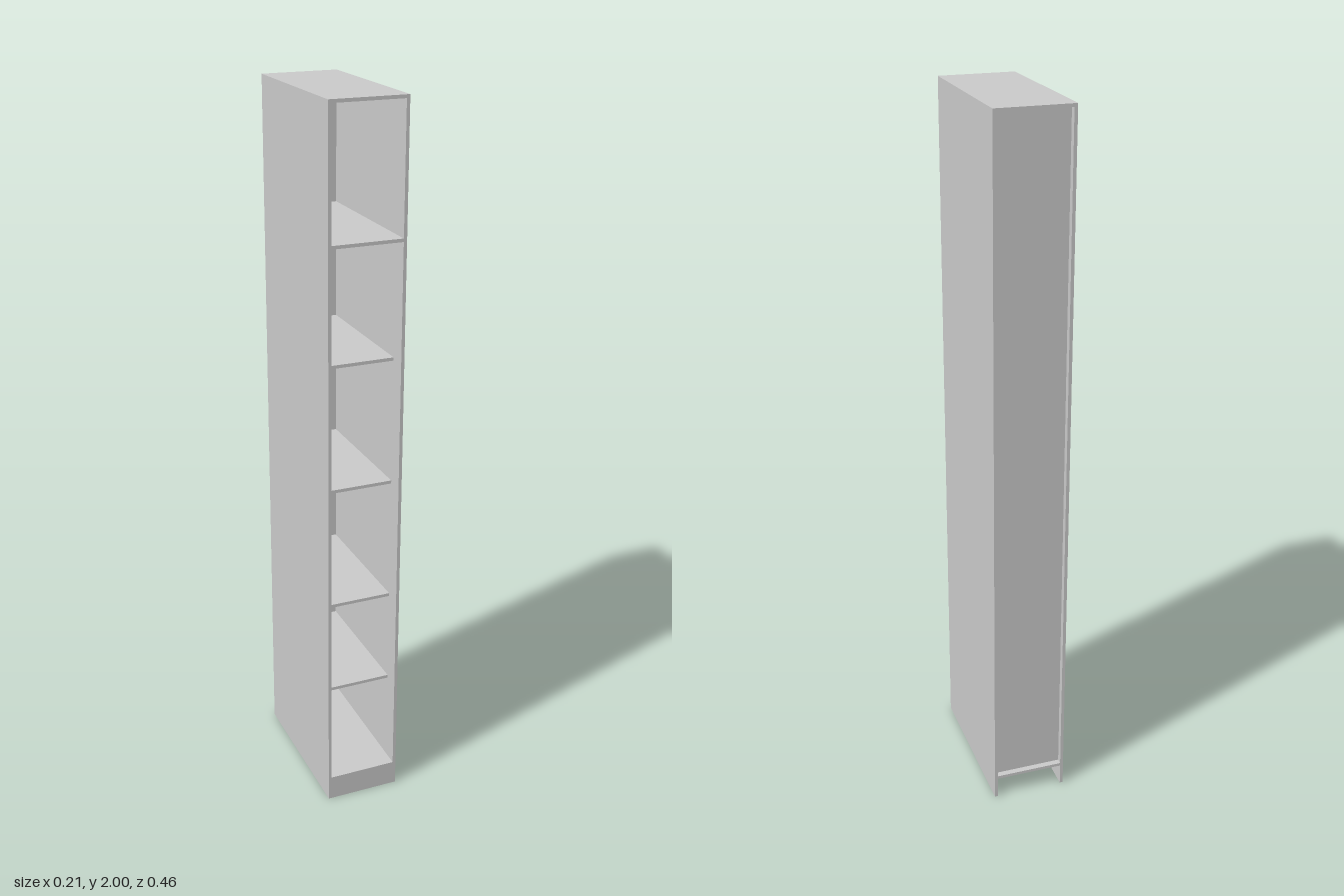
import * as THREE from 'three';

const W = 0.2125, H = 2, D = 0.462; // overall size
const T = 0.009; // board thickness
const RECESS = 0.017; // back panel set in from the rear edge
const BACK_T = 0.004;
const SETBACK = 0.047; // loose shelves sit behind the front edge
const BASE = 0.072; // top of the bottom board

export function createModel() {
  const group = new THREE.Group();
  const material = new THREE.MeshStandardMaterial({ color: 0xcccccc });
  const inner = W - 2 * T;

  // Board given by its size and centre
  const board = (name, w, h, d, x, y, z) => {
    const mesh = new THREE.Mesh(new THREE.BoxGeometry(w, h, d), material);
    mesh.name = name;
    mesh.position.set(x, y, z);
    group.add(mesh);
  };

  // Carcass: full-height sides with top and bottom boards between them
  for (const [name, s] of [['leftSide', 1], ['rightSide', -1]]) {
    board(name, T, H, D, s * (W - T) / 2, H / 2, 0);
  }
  board('topBoard', inner, T, D, 0, H - T / 2, 0);
  board('bottomBoard', inner, T, D, 0, BASE - T / 2, 0);

  // Plinth closes the front below the bottom board; the rear stays open
  board('plinth', inner, BASE - T, T, 0, (BASE - T) / 2, (D - T) / 2);

  // Recessed back panel
  const backFront = -D / 2 + RECESS + BACK_T;
  board('backPanel', inner, H - T - BASE, BACK_T, 0, (H - T + BASE) / 2, backFront - BACK_T / 2);

  // Fixed shelf is flush with the front, the others are set back
  const shelf = (name, y, front) =>
    board(name, inner, T, front - backFront, 0, y, (front + backFront) / 2);
  shelf('fixedShelf', 1.645, D / 2);
  [0.342, 0.613, 0.963, 1.317].forEach((y, i) => shelf(`shelf${i + 1}`, y, D / 2 - SETBACK));

  return group;
}
